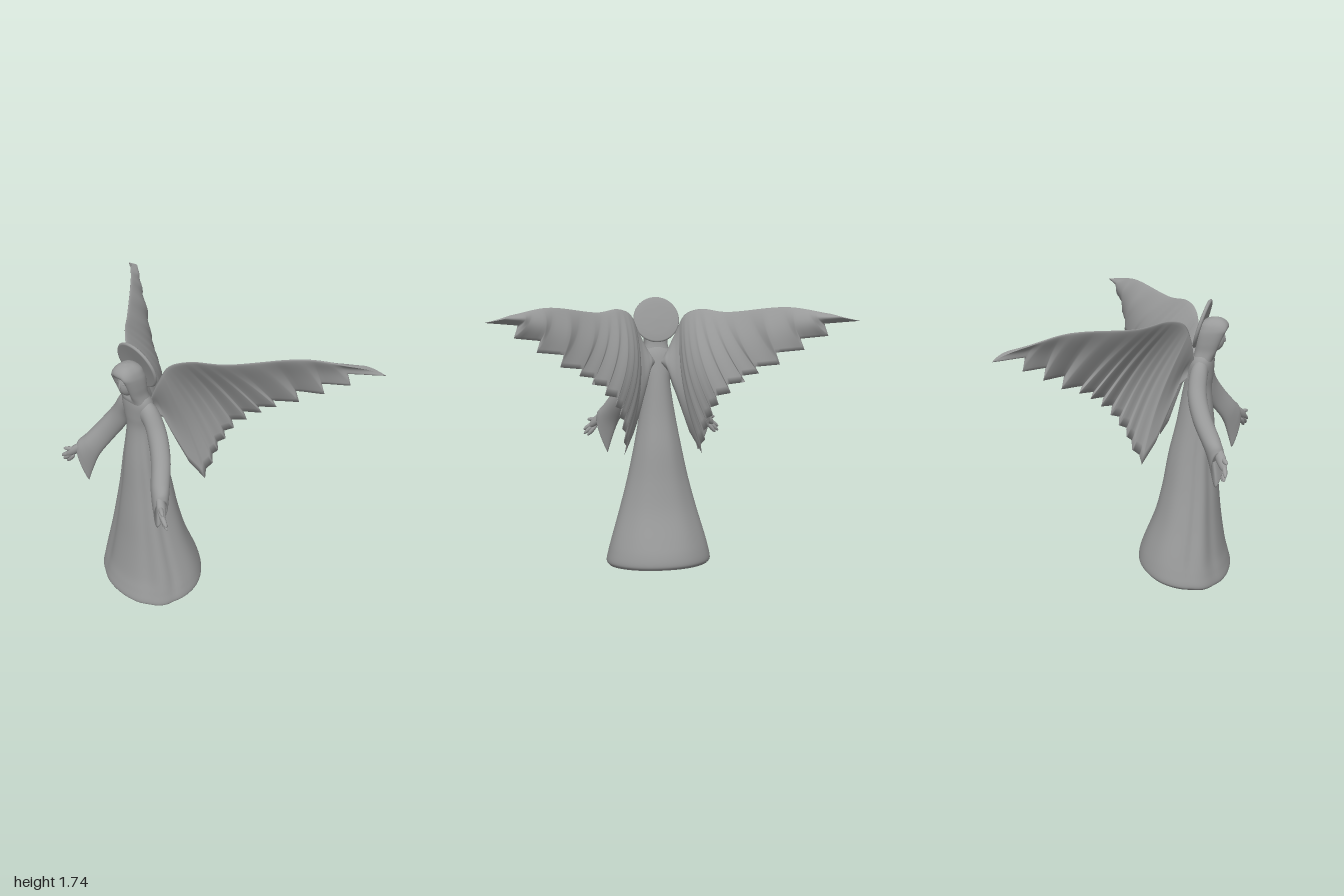
import * as THREE from 'three';

const V = (x, y, z) => new THREE.Vector3(x, y, z);
const stone = new THREE.MeshStandardMaterial({ color: 0x999a9a, side: THREE.DoubleSide });
stone.name = 'grey stone';

// Skin closed rings (right-handed about the direction of progress); flat end caps.
function loft(rings) {
  const n = rings[0].length, pos = [], idx = [];
  rings.forEach(r => r.forEach(p => pos.push(p.x, p.y, p.z)));
  for (let i = 0; i < rings.length - 1; i++) {
    for (let j = 0; j < n; j++) {
      const a = i * n + j, b = i * n + (j + 1) % n;
      idx.push(a, b, b + n, a, b + n, a + n);
    }
  }
  [rings[0], rings[rings.length - 1]].forEach((ring, end) => {
    const start = pos.length / 3;
    const mid = ring.reduce((s, p) => s.add(p), V(0, 0, 0)).divideScalar(n);
    [...ring, mid].forEach(p => pos.push(p.x, p.y, p.z));
    for (let j = 0; j < n; j++) {
      const a = start + j, b = start + (j + 1) % n;
      idx.push(...(end ? [a, b, start + n] : [b, a, start + n]));
    }
  });
  const g = new THREE.BufferGeometry();
  g.setAttribute('position', new THREE.Float32BufferAttribute(pos, 3));
  g.setIndex(idx);
  g.computeVertexNormals();
  return g;
}

// Mirror a geometry to the other side of the body
function mirrored(geometry) {
  const g = geometry.clone();
  const p = g.attributes.position;
  for (let i = 0; i < p.count; i++) p.setX(i, -p.getX(i));
  const a = g.index.array;
  for (let i = 0; i < a.length; i += 3) [a[i], a[i + 1]] = [a[i + 1], a[i]];
  g.computeVertexNormals();
  return g;
}

// Upright body from rows of [y, half width, front z, back z]; shape() scales each radius
function body(rows, steps, n, shape) {
  const c1 = new THREE.CatmullRomCurve3(rows.map(r => V(r[0], r[1], 0)), false, 'catmullrom', 0.5);
  const c2 = new THREE.CatmullRomCurve3(rows.map(r => V(r[2], r[3], 0)), false, 'catmullrom', 0.5);
  const rings = [];
  for (let i = 0; i <= steps; i++) {
    const a = c1.getPoint(i / steps), b = c2.getPoint(i / steps), ring = [];
    for (let j = 0; j < n; j++) {
      const th = (j / n) * Math.PI * 2;
      const k = shape(Math.min(th, Math.PI * 2 - th), a.x);
      const z = (b.x + b.y) / 2 + (b.x - b.y) / 2 * Math.cos(th) * k;
      ring.push(V(a.y * Math.sin(th) * k, a.x, z));
    }
    rings.push(ring);
  }
  return rings;
}

const bump = (x, c, w) => Math.exp(-(((x - c) / w) ** 2));
const step = (x, sharp) => 1 / (1 + Math.exp(-x * sharp));
const squared = (d, e) => (Math.abs(Math.sin(d)) ** e + Math.abs(Math.cos(d)) ** e) ** (-1 / e);

// Gown with two long front folds and a hem that lifts towards the back
function gownGeometry() {
  const rows = [
    [0, 0.318, 0.495, -0.05], [0.03, 0.337, 0.513, -0.065], [0.1, 0.325, 0.497, -0.055],
    [0.2, 0.30, 0.472, -0.025], [0.4, 0.245, 0.442, 0.04], [0.6, 0.195, 0.422, 0.082],
    [0.8, 0.152, 0.402, 0.115], [1.0, 0.115, 0.387, 0.16], [1.2, 0.085, 0.366, 0.195],
    [1.3, 0.092, 0.372, 0.215], [1.38, 0.1, 0.376, 0.235], [1.43, 0.075, 0.37, 0.26], [1.45, 0.04, 0.35, 0.28]];
  const rings = body(rows, 72, 96, (d, y) => {
    const amp = step(1.1 - y, 12) * (0.3 + 0.7 * step(y - 0.12, 25));
    return squared(d, d < Math.PI / 2 ? 2.15 : 2) * (1 + amp * (0.05 * bump(d, 0.92, 0.17)
      - 0.035 * bump(d, 1.2, 0.1) - 0.03 * bump(d, 0.62, 0.14) + 0.01 * Math.cos(d * 7) * bump(d, 2.5, 0.9)));
  });
  rings.forEach(r => r.forEach(p => {
    p.y += Math.max(0, 1 - p.y / 0.6) * 0.07 * Math.max(0, 0.48 - p.z) / 0.53;
  }));
  return loft(rings);
}

// Veil over the head, hollowed at the front for the face
function veilGeometry() {
  const rows = [
    [1.34, 0.1, 0.36, 0.25], [1.40, 0.084, 0.375, 0.255], [1.45, 0.075, 0.402, 0.265],
    [1.50, 0.077, 0.424, 0.27], [1.55, 0.077, 0.446, 0.275], [1.58, 0.073, 0.457, 0.285],
    [1.61, 0.061, 0.446, 0.298], [1.633, 0.038, 0.42, 0.33], [1.643, 0.008, 0.39, 0.37]];
  return loft(body(rows, 56, 72, (d, y) => squared(d, 2.6)
    * (1 - 0.45 * step(0.52 - d, 18) * step(y - 1.43, 120) * step(1.572 - y, 110))));
}

// Sleeve: each ring is [top x,y,z, bottom x,y,z, half width]; the cuff turns back inside
function sleeveGeometry() {
  const rows = [
    [0.04, 1.43, 0.315, 0.04, 1.27, 0.305, 0.045], [0.115, 1.385, 0.307, 0.08, 1.24, 0.3, 0.054],
    [0.19, 1.27, 0.315, 0.12, 1.15, 0.305, 0.06], [0.265, 1.155, 0.36, 0.18, 1.05, 0.345, 0.062],
    [0.333, 1.045, 0.43, 0.238, 0.935, 0.41, 0.062], [0.362, 1.005, 0.465, 0.275, 0.83, 0.435, 0.058],
    [0.37, 0.975, 0.475, 0.303, 0.73, 0.455, 0.052]];
  const tops = new THREE.CatmullRomCurve3(rows.map(r => V(r[0], r[1], r[2])));
  const lows = new THREE.CatmullRomCurve3(rows.map(r => V(r[3], r[4], r[5])));
  const center = t => tops.getPoint(t).add(lows.getPoint(t)).multiplyScalar(0.5);
  const makeRing = (t, size) => {
    const c = center(t), ring = [];
    const axis = tops.getPoint(t).sub(lows.getPoint(t)).multiplyScalar(0.5 * size);
    const dir = center(Math.min(1, t + 0.02)).sub(center(Math.max(0, t - 0.02)));
    const i = Math.min(rows.length - 2, Math.floor(t * (rows.length - 1)));
    const w = THREE.MathUtils.lerp(rows[i][6], rows[i + 1][6], t * (rows.length - 1) - i) * size;
    const side = dir.cross(axis).normalize();
    for (let j = 0; j < 32; j++) {
      const a = (j / 32) * Math.PI * 2;
      const taper = 1 - 0.3 * t * (1 - Math.cos(a));
      ring.push(c.clone().addScaledVector(axis, Math.cos(a)).addScaledVector(side, w * Math.sin(a) * taper));
    }
    return ring;
  };
  const rings = [];
  for (let i = 0; i <= 36; i++) rings.push(makeRing(i / 36, 1));
  rings.push(makeRing(1, 0.88), makeRing(0.92, 0.72), makeRing(0.8, 0.6));
  return loft(rings);
}

// Wing: ruled from a leading edge to a row of feather tips, with softly ridged feathers
function wingGeometry() {
  const lead = new THREE.CatmullRomCurve3([
    V(0.05, 1.37, 0.27), V(0.12, 1.53, 0.262), V(0.17, 1.632, 0.232), V(0.25, 1.667, 0.166),
    V(0.385, 1.652, 0.03), V(0.68, 1.685, -0.265), V(0.865, 1.652, -0.43)]);
  const inner = [V(0.05, 1.31, 0.26), V(0.08, 1.25, 0.19), V(0.115, 1.1, 0.135), V(0.17, 0.92, 0.07)];
  const tips = [
    V(0.235, 0.797, 0), V(0.243, 0.89, -0.055), V(0.255, 0.975, -0.085), V(0.275, 1.05, -0.125),
    V(0.30, 1.118, -0.165), V(0.364, 1.19, -0.2), V(0.44, 1.257, -0.235), V(0.51, 1.31, -0.275),
    V(0.615, 1.365, -0.335), V(0.74, 1.45, -0.385), V(0.855, 1.53, -0.445), V(1, 1.615, -0.535)];
  const stations = [];
  [...inner, tips[0]].forEach((p, i, all) => {
    for (let s = 0; s < 4 && i < 4; s++) {
      stations.push({ p: p.clone().lerp(all[i + 1], s / 4), t: 0.25 * (i + s / 4) / 4, ridge: (i + s / 4) / 4 });
    }
  });
  for (let k = 0; k < 11; k++) {
    const a = tips[k], b = tips[k + 1];
    const depth = Math.min(1, 0.4 + k * 0.12);
    const notch = a.clone().lerp(b, 0.5).lerp(V(a.x - 0.012, b.y - 0.018, a.z + 0.02), depth);
    for (let s = 0; s < 10 || (k === 10 && s === 10); s++) {
      const f = s / 10;
      const p = f < 0.5 ? a.clone().lerp(notch, f * 2) : notch.clone().lerp(b, f * 2 - 1);
      stations.push({ p, t: 0.25 + 0.75 * ((k + f) / 11) ** 1.4, ridge: Math.cos(f * Math.PI * 2) });
    }
  }
  const normal = V(0.67, 0, 0.74), steps = 18;
  return loft(stations.map(({ p, t, ridge }) => {
    const top = lead.getPoint(t), ring = [];
    const hollow = bump(t, 0.3, 0.2);
    const add = (v, side) => {
      const thick = (0.06 + 0.02 * hollow) * Math.sqrt(v) * (1 - v) ** 0.9 + 0.008 * Math.sin(Math.PI * v);
      const wave = 0.006 * ridge * v * v - (0.026 + 0.04 * hollow) * Math.sin(Math.PI * v);
      ring.push(top.clone().lerp(p, v).addScaledVector(normal, wave + side * thick * 0.6));
    };
    for (let i = 0; i < steps; i++) add((i / steps) ** 1.5, 1);
    for (let i = steps; i > 0; i--) add((i / steps) ** 1.5, -1);
    return ring;
  }));
}

// Slim ellipsoid running from a to b
function limb(a, b, rx, rz) {
  const d = b.clone().sub(a);
  const g = new THREE.SphereGeometry(1, 16, 12).scale(rx, d.length() / 2, rz);
  g.applyQuaternion(new THREE.Quaternion().setFromUnitVectors(V(0, 1, 0), d.normalize()));
  const c = a.clone().add(b).multiplyScalar(0.5);
  return g.translate(c.x, c.y, c.z);
}

export function createModel() {
  const model = new THREE.Group();
  model.name = 'angelFigure';
  const add = (name, g) => {
    const m = new THREE.Mesh(g, stone);
    m.name = name;
    model.add(m);
  };
  const pair = (name, g) => {
    add('left' + name, g);
    add('right' + name, mirrored(g));
  };

  add('gown', gownGeometry());
  add('veil', veilGeometry());

  // Face and neck
  add('face', new THREE.SphereGeometry(1, 32, 24).scale(0.045, 0.075, 0.055).translate(0, 1.522, 0.376));
  add('nose', limb(V(0, 1.555, 0.422), V(0, 1.5, 0.434), 0.007, 0.008));
  add('mouth', limb(V(-0.012, 1.485, 0.419), V(0.012, 1.485, 0.419), 0.004, 0.005));
  add('neck', new THREE.CylinderGeometry(0.032, 0.04, 0.12, 24).translate(0, 1.42, 0.33));
  pair('Eyelid', limb(V(0.01, 1.538, 0.423), V(0.03, 1.534, 0.416), 0.005, 0.005));

  // Dished halo tilted over the head
  const rim = [[0, -0.016], [0.09, -0.014], [0.137, -0.009], [0.143, -0.005], [0.145, 0.001], [0.141, 0.008], [0.134, 0.01], [0.06, 0.004], [0, 0.002]];
  const halo = new THREE.LatheGeometry(rim.map(p => new THREE.Vector2(...p)), 64);
  add('halo', halo.rotateX(Math.PI / 2 + 0.29).translate(0, 1.6, 0.302));

  pair('Sleeve', sleeveGeometry());
  pair('Wing', wingGeometry());

  // Open hands
  pair('Palm', limb(V(0.315, 1.0, 0.45), V(0.42, 0.89, 0.522), 0.03, 0.024));
  pair('Thumb', limb(V(0.36, 0.95, 0.49), V(0.43, 0.94, 0.532), 0.014, 0.013));
  const fingers = [[0.456, 0.872, 0.53], [0.455, 0.845, 0.522], [0.432, 0.836, 0.51]];
  fingers.forEach((f, i) => pair('Finger' + (i + 1),
    limb(V(0.385 - i * 0.008, 0.925 - i * 0.008, 0.508 - i * 0.004), V(...f), 0.014, 0.014)));

  return model;
}
